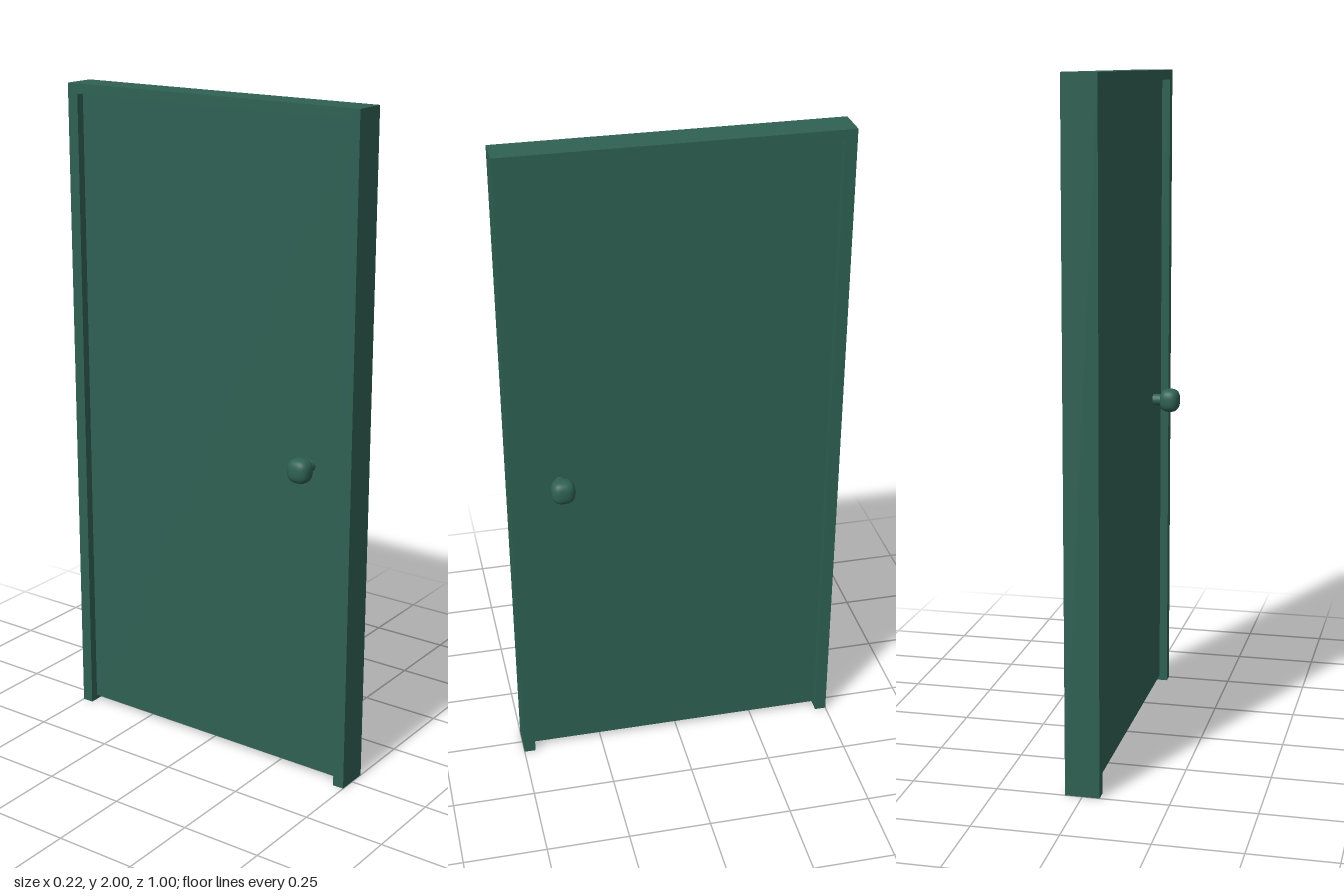
import * as THREE from 'three';

const material = new THREE.MeshStandardMaterial({ color: 0x2f6153 });

function add(parent, name, geometry, x = 0, y = 0, z = 0) {
  const mesh = new THREE.Mesh(geometry, material);
  mesh.name = name;
  mesh.position.set(x, y, z);
  parent.add(mesh);
  return mesh;
}

// Sphere pushed outward towards a softly squared block
function softBlock(hx, hy, hz, power) {
  const geometry = new THREE.SphereGeometry(1, 32, 24);
  const p = geometry.attributes.position;
  const v = new THREE.Vector3();
  for (let i = 0; i < p.count; i++) {
    v.fromBufferAttribute(p, i);
    const sum = Math.abs(v.x) ** power + Math.abs(v.y) ** power + Math.abs(v.z) ** power;
    v.multiplyScalar(sum ** (-1 / power));
    p.setXYZ(i, v.x * hx, v.y * hy, v.z * hz);
  }
  geometry.computeVertexNormals();
  return geometry;
}

export function createModel() {
  const door = new THREE.Group();
  door.name = 'door';

  // Frame: two jambs and a lintel, open at the bottom
  const outline = new THREE.Shape([
    [-0.5, 0], [-0.465, 0], [-0.465, 1.97], [0.465, 1.97],
    [0.465, 0], [0.5, 0], [0.5, 2], [-0.5, 2],
  ].map(([x, y]) => new THREE.Vector2(x, y)));
  const frame = new THREE.ExtrudeGeometry(outline, { depth: 0.1, bevelEnabled: false });
  frame.translate(0, 0, -0.05).rotateY(Math.PI / 2);
  add(door, 'frame', frame);

  // Recessed door leaf, slightly clear of the floor
  add(door, 'doorLeaf', new THREE.BoxGeometry(0.05, 1.955, 0.93), 0, 0.9925, 0);

  // A knob with its stem on each face
  for (const side of [-1, 1]) {
    const handle = new THREE.Group();
    handle.name = side > 0 ? 'leftHandle' : 'rightHandle';
    handle.position.set(0, 0.977, 0.348);
    const stem = new THREE.CylinderGeometry(0.018, 0.018, 0.045, 20);
    stem.rotateZ(Math.PI / 2);
    add(handle, 'stem', stem, side * 0.0425);
    add(handle, 'knob', softBlock(0.031, 0.036, 0.035, 2.7), side * 0.078);
    door.add(handle);
  }
  return door;
}
